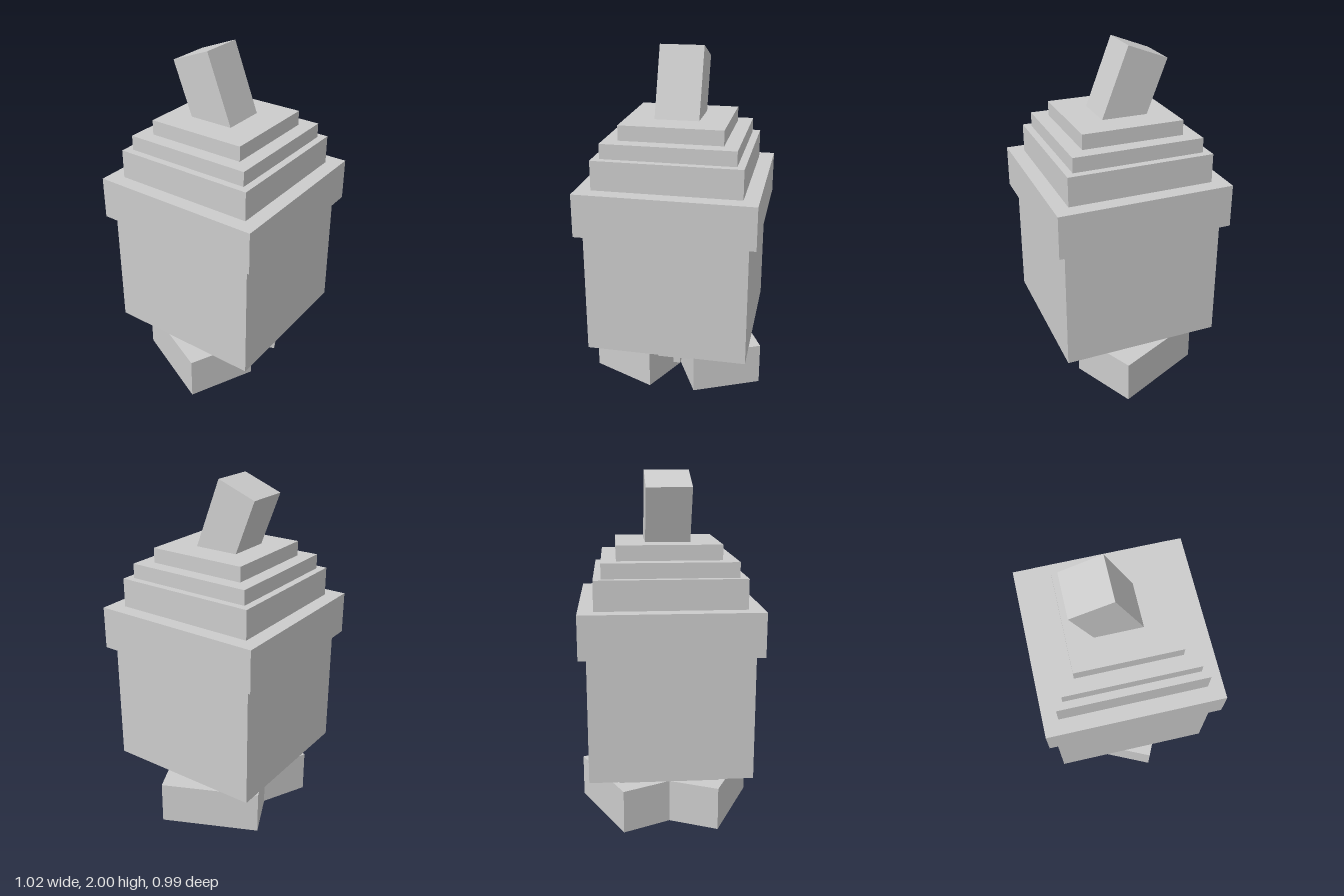
import * as THREE from 'three';

export function createModel() {
  const model = new THREE.Group();
  const material = new THREE.MeshStandardMaterial({ color: 0xcccccc, flatShading: true });

  const addBox = (name, w, h, d, x, y, z) => {
    const mesh = new THREE.Mesh(new THREE.BoxGeometry(w, h, d), material);
    mesh.name = name;
    mesh.position.set(x, y, z);
    model.add(mesh);
    return mesh;
  };

  // Square tiers, stacked from the hips up: name, half width, bottom, top
  const tiers = [
    ['hips', 0.29, 0.25, 0.332],
    ['body', 0.455, 0.332, 1.038],
    ['rim', 0.497, 1.038, 1.282],
    ['lowerCap', 0.412, 1.282, 1.447],
    ['middleCap', 0.37, 1.447, 1.53],
    ['upperCap', 0.288, 1.53, 1.614],
  ];
  for (const [name, half, bottom, top] of tiers) {
    addBox(name, half * 2, top - bottom, half * 2, 0, (bottom + top) / 2, 0);
  }

  // Stem leaning backwards, sunk into the cap
  const stem = addBox('stem', 0.25, 0.5, 0.243, 0, 1.724, -0.058);
  stem.rotation.x = THREE.MathUtils.degToRad(-21);

  // Splayed feet that cross at the heels
  for (const side of [1, -1]) {
    const foot = addBox(side > 0 ? 'leftFoot' : 'rightFoot', 0.414, 0.25, 0.574, side * 0.201, 0.125, -0.0625);
    foot.rotation.y = side * THREE.MathUtils.degToRad(25);
  }

  // Small stepped block hanging between the feet
  addBox('underBlock', 0.2, 0.083, 0.2, 0, 0.2085, 0.11);
  addBox('underPeg', 0.042, 0.084, 0.042, 0, 0.125, 0.11);

  return model;
}
